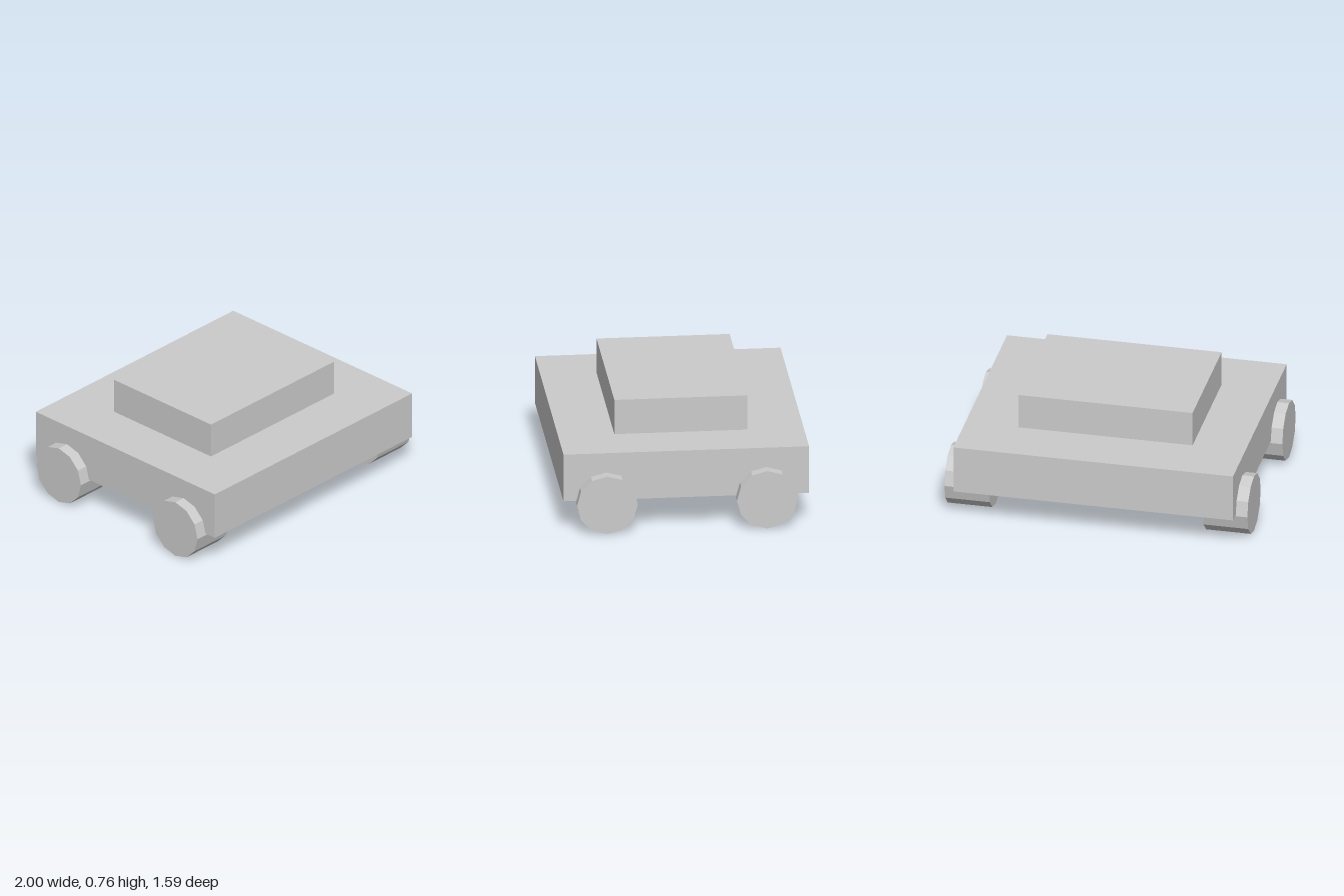
import * as THREE from 'three';

export function createModel() {
  const model = new THREE.Group();
  model.name = 'car';
  const material = new THREE.MeshStandardMaterial({ color: 0xcccccc, flatShading: true });

  const addPart = (name, geometry, x, y, z) => {
    const mesh = new THREE.Mesh(geometry, material);
    mesh.name = name;
    mesh.position.set(x, y, z);
    model.add(mesh);
  };

  // Body slab and the cabin resting on it
  addPart('body', new THREE.BoxGeometry(1.846, 0.32, 1.59), 0, 0.367, 0);
  addPart('cabin', new THREE.BoxGeometry(1.15, 0.235, 0.862), 0, 0.6445, 0);

  // Four twelve-sided wheels, partly sunk into the body
  const radius = 0.197;
  const width = 0.295;
  const wheel = new THREE.CylinderGeometry(radius, radius, width, 12).rotateZ(Math.PI / 2);
  for (const [end, z] of [['front', 0.518], ['rear', -0.518]]) {
    for (const [side, sign] of [['Left', 1], ['Right', -1]]) {
      addPart(`${end}${side}Wheel`, wheel, sign * (1 - width / 2), radius, z);
    }
  }

  return model;
}
